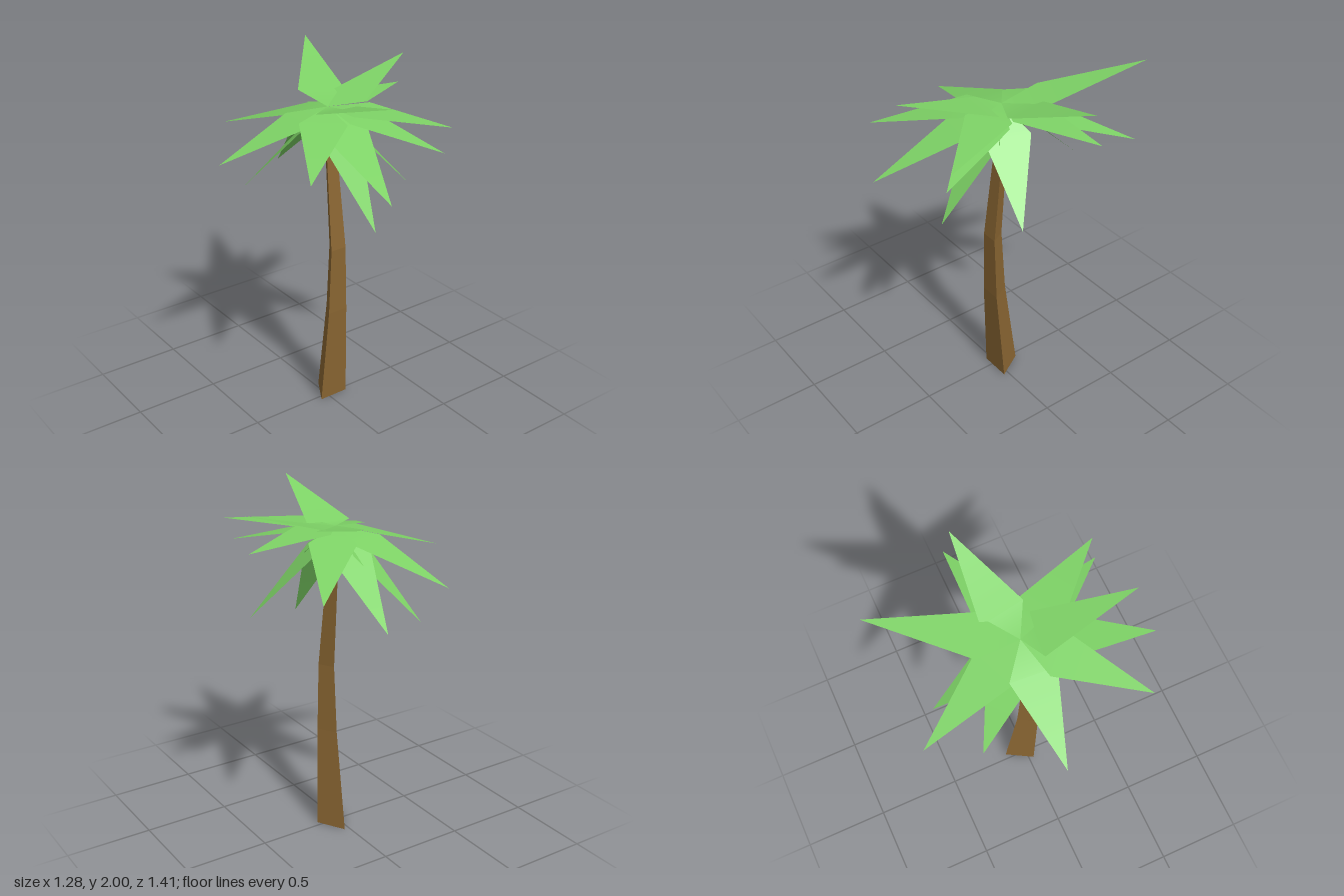
import * as THREE from 'three';

const barkMaterial = new THREE.MeshStandardMaterial({ color: 0x8a6632, flatShading: true });
const leafMaterial = new THREE.MeshStandardMaterial({ color: 0x7ed366, side: THREE.DoubleSide });

// Three-sided trunk: a prism whose rings are moved along a gentle bend
function createTrunk() {
  // [y, centre z, radius] from top to bottom
  const rings = [
    [1.8, -0.037, 0.033],
    [1.0, 0.042, 0.057],
    [0.6, 0.03, 0.072],
    [0, -0.023, 0.105],
  ];
  const geometry = new THREE.CylinderGeometry(1, 1, 3, 3, 3, false, Math.PI);
  const p = geometry.attributes.position;
  for (let i = 0; i < p.count; i++) {
    const [y, z, r] = rings[Math.round(1.5 - p.getY(i))];
    p.setXYZ(i, 0.03 + p.getX(i) * r, y, z + p.getZ(i) * r);
  }
  geometry.computeVertexNormals();
  const trunk = new THREE.Mesh(geometry, barkMaterial);
  trunk.name = 'trunk';
  return trunk;
}

// Kite-shaped leaf from the crown to its tip, widest and slightly bent at the shoulders
function createLeaf(x, y, z, at = 0.28) {
  const base = new THREE.Vector3(0.02, 1.82, -0.02);
  const tip = new THREE.Vector3(x, y, z);
  const mid = base.clone().lerp(tip, at);
  mid.y += y > 1.9 ? -0.02 : 0.015;
  const side = new THREE.Vector3(z - base.z, 0, base.x - x).setLength(0.128);
  const right = mid.clone().add(side);
  const left = mid.clone().sub(side);

  const geometry = new THREE.BufferGeometry().setFromPoints([base, left, right, tip]);
  geometry.setIndex([0, 1, 2, 1, 3, 2]);
  geometry.computeVertexNormals();
  return new THREE.Mesh(geometry, leafMaterial);
}

export function createModel() {
  const model = new THREE.Group();
  model.add(createTrunk());

  // Leaf tips, tier by tier, with an optional shoulder position
  const tiers = {
    upperLeaf: [
      [0.365, 2.0, -0.71],
      [-0.035, 1.985, 0.59, 0.14],
      [0.635, 1.985, -0.13, 0.26],
    ],
    middleLeaf: [
      [0.395, 1.79, 0.56],
      [0.64, 1.8, -0.175],
      [0.345, 1.66, 0.56],
      [-0.465, 1.66, 0.5],
      [-0.64, 1.625, -0.065],
      [-0.24, 1.6, -0.67],
      [0.46, 1.61, -0.58],
      [-0.12, 1.535, 0.7, 0.31],
    ],
    lowerLeaf: [
      [0.03, 1.355, -0.525],
      [-0.295, 1.315, -0.38],
      [0.455, 1.325, 0.17],
      [0.035, 1.225, 0.39],
    ],
  };
  const crown = new THREE.Group();
  crown.name = 'crown';
  for (const [name, tips] of Object.entries(tiers)) {
    tips.forEach((tip, i) => {
      const leaf = createLeaf(...tip);
      leaf.name = `${name}${i + 1}`;
      crown.add(leaf);
    });
  }
  model.add(crown);
  return model;
}
